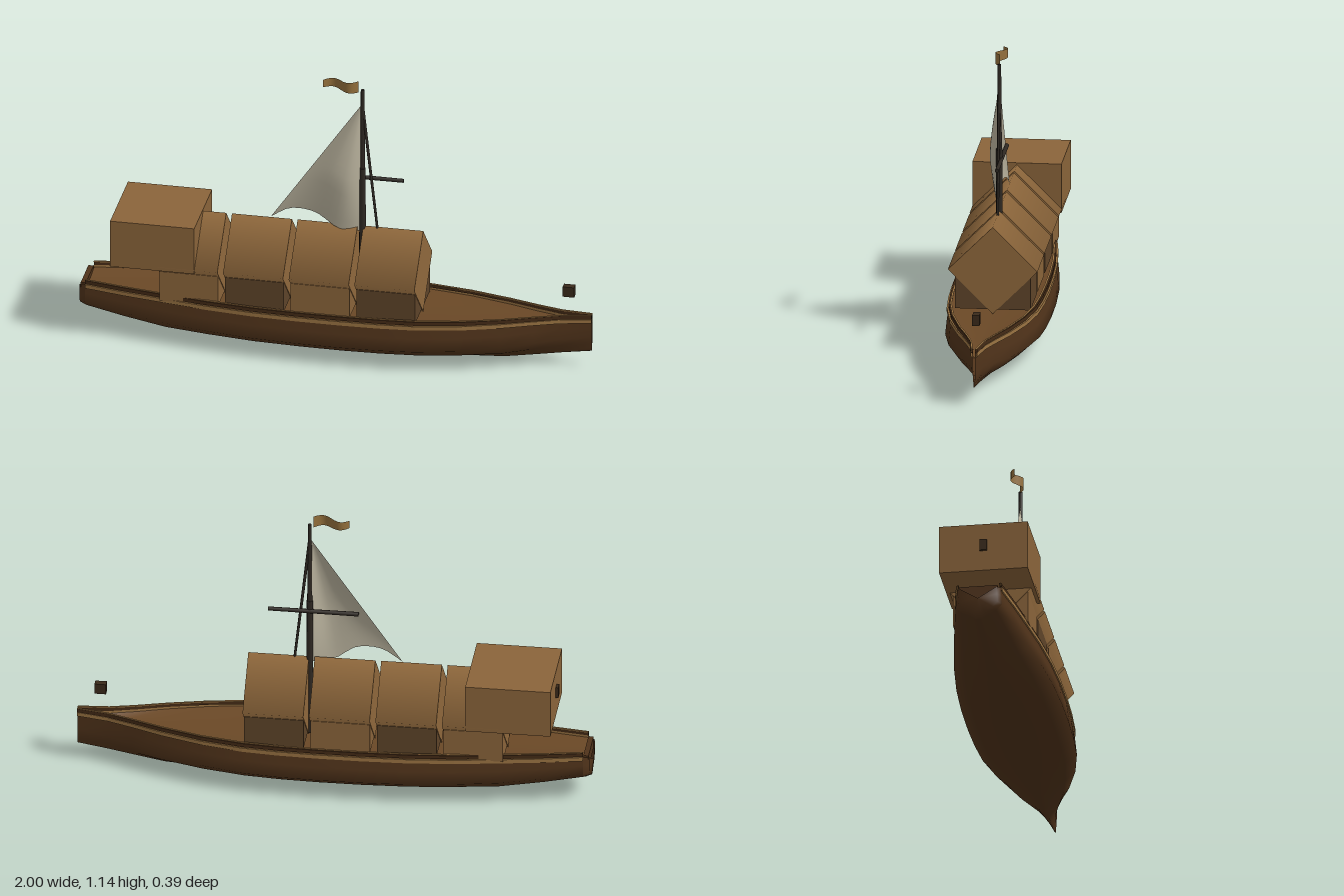
import * as THREE from 'three';

const mat = (color, extra = {}) => new THREE.MeshStandardMaterial({ color, ...extra });
const DS = { side: THREE.DoubleSide };
const hullMat = mat(0x50331a, DS);
const deckMat = mat(0x6a4826, DS);
const trimMat = mat(0x9a7342, { ...DS, flatShading: true });
const railMat = mat(0x432a15, { ...DS, flatShading: true });
const roofMat = mat(0x8f683c);
const lightWood = mat(0x8a643a);
const darkWood = mat(0x5e4429);
const sparMat = mat(0x2e2822);
const sailMat = mat(0xb8b19c, DS);
const flagMat = mat(0x94703c, DS);
const lampMat = mat(0x3a2a1a);

// Hull stations: x, half beam, keel height, sheer height
const stations = [
  [-0.97, 0.09, 0.075, 0.203], [-0.82, 0.118, 0.047, 0.2], [-0.65, 0.145, 0.02, 0.198],
  [-0.48, 0.17, 0.014, 0.196], [-0.3, 0.188, 0.008, 0.195], [-0.12, 0.196, 0.006, 0.195],
  [0.05, 0.197, 0.005, 0.195], [0.2, 0.193, 0.006, 0.195], [0.34, 0.183, 0.009, 0.196],
  [0.5, 0.153, 0.015, 0.198], [0.66, 0.104, 0.022, 0.201], [0.78, 0.058, 0.04, 0.204],
  [0.88, 0.024, 0.056, 0.207], [1.0, 0.005, 0.075, 0.211],
];
// Half section from sheer to keel: fraction of beam, fraction of height
const section = [[0.93, 1], [0.97, 0.72], [1, 0.44], [0.75, 0.25], [0.32, 0.1], [0.13, 0.01], [0, 0]];
const fullSection = [...section, ...section.slice(0, -1).reverse().map(([w, h]) => [-w, h])];

// Surface from a rule f(i, j) returning [x, y, z]
function grid(nu, nv, f) {
  const pos = [], idx = [];
  for (let i = 0; i <= nu; i++) for (let j = 0; j <= nv; j++) pos.push(...f(i, j));
  for (let i = 0; i < nu; i++) for (let j = 0; j < nv; j++) {
    const a = i * (nv + 1) + j, c = a + nv + 1;
    idx.push(a, a + 1, c, a + 1, c + 1, c);
  }
  const g = new THREE.BufferGeometry();
  g.setAttribute('position', new THREE.Float32BufferAttribute(pos, 3));
  g.setIndex(idx);
  g.computeVertexNormals();
  return g;
}

function add(parent, name, geo, material, x = 0, y = 0, z = 0) {
  const m = new THREE.Mesh(geo, material);
  m.name = name;
  m.position.set(x, y, z);
  parent.add(m);
  return m;
}

const box = (w, h, d) => new THREE.BoxGeometry(w, h, d);

// Round spar between two points
function spar(parent, name, a, b, r0, r1) {
  const p = new THREE.Vector3(...a), q = new THREE.Vector3(...b);
  const dir = q.clone().sub(p);
  const m = add(parent, name, new THREE.CylinderGeometry(r1, r0, dir.length(), 8), sparMat);
  m.position.copy(p).add(q).multiplyScalar(0.5);
  m.quaternion.setFromUnitVectors(new THREE.Vector3(0, 1, 0), dir.normalize());
}

// Square-section plank following the hull side
function plank(parent, name, material, side, beam, y0, y1, thick) {
  const corners = [[0, y0], [thick, y0], [thick, y1], [0, y1], [0, y0]];
  add(parent, name, grid(stations.length - 1, 4, (i, j) => {
    const [x, w, , top] = stations[i];
    return [x, top + corners[j][1], side * (w * beam + corners[j][0])];
  }), material);
}

function buildHull(parent) {
  const n = stations.length - 1, v = fullSection.length - 1;
  const at = (i, j) => {
    const [x, w, low, top] = stations[i], [sw, sh] = fullSection[j];
    return [x, low + (top - low) * sh, w * sw];
  };
  add(parent, 'hull', grid(n, v, at), hullMat);
  // Bulged stern panel shrinking towards its middle
  const scale = [0, 0.85, 1], xs = [-1, -0.995, -0.97];
  add(parent, 'transom', grid(2, v, (i, j) => {
    const [, y, z] = at(0, j);
    return [xs[i], 0.15 + (y - 0.15) * scale[i], z * scale[i]];
  }), hullMat);
  add(parent, 'transomTop', box(0.02, 0.05, 0.15), hullMat, -0.98, 0.18, 0);
  // Deck, dished a little along the middle
  add(parent, 'deck', grid(n, 4, (i, j) => {
    const [x, w, , top] = stations[i], t = j / 2 - 1;
    return [x, top - 0.008 - 0.012 * (1 - t * t), w * 0.93 * t];
  }), deckMat);
  for (const s of [1, -1]) {
    plank(parent, 'trimStrake', trimMat, s, 0.93, -0.014, 0.002, 0.007);
    plank(parent, 'bulwark', railMat, s, 0.89, 0.003, 0.018, 0.007);
    plank(parent, 'railCap', trimMat, s, 0.86, 0.016, 0.02, 0.007);
  }
}

function buildCabins(parent) {
  const len = 0.235;
  const roof = new THREE.CylinderGeometry(0.173, 0.173, len, 4);
  roof.rotateZ(Math.PI / 2);
  for (let i = 0; i < 4; i++) {
    const x = -0.552 + i * 0.2575;
    add(parent, 'cabinRoof', roof, roofMat, x, 0.35, 0);
    add(parent, 'cabinWall', box(len - 0.005, 0.125, 0.292), i % 2 ? darkWood : lightWood, x, 0.2575, 0);
  }
  add(parent, 'sternCabin', box(0.33, 0.195, 0.344), lightWood, -0.69, 0.4325, 0);
  add(parent, 'sternLamp', box(0.03, 0.045, 0.028), lampMat, -0.85, 0.44, 0);
  add(parent, 'bowLamp', box(0.045, 0.042, 0.028), lampMat, 0.91, 0.324, 0);
}

function buildRig(parent) {
  spar(parent, 'lowerMast', [0.1, 0.19, 0], [0.1, 0.77, 0], 0.014, 0.012);
  spar(parent, 'upperMast', [0.1, 0.76, 0], [0.1, 1.107, 0], 0.01, 0.007);
  spar(parent, 'forestay', [0.1, 1.04, 0], [0.16, 0.5, 0], 0.006, 0.005);
  spar(parent, 'yard', [-0.09, 0.727, -0.008], [0.26, 0.727, -0.008], 0.009, 0.008);

  // Triangular sail with arched foot and a belly towards +z
  const foot = new THREE.CatmullRomCurve3([[-0.26, 0.525], [-0.19, 0.57], [-0.13, 0.578], [-0.07, 0.565],
    [0.0, 0.515], [0.05, 0.503], [0.095, 0.5]].map(([x, y]) => new THREE.Vector3(x, y, 0)));
  const N = 14;
  add(parent, 'sail', grid(N, N, (i, j) => {
    const p = foot.getPoint(j / N), t = i / N;
    const belly = 0.052 * Math.sin(Math.PI * Math.pow(j / N, 1.4)) * Math.sin(Math.PI * (0.15 + 0.85 * (1 - t)) * 0.72);
    return [0.095 + (p.x - 0.095) * t, 1.04 + (p.y - 1.04) * t, belly * Math.min(1, 1.6 * t)];
  }), sailMat);

  // Waving pennant
  add(parent, 'pennant', grid(12, 2, (i, j) => {
    const t = i / 12, h = 0.048 - 0.016 * t;
    return [0.085 - 0.14 * t, 1.118 + h * (j / 2 - 0.5), 0.02 * Math.sin(t * Math.PI * 2)];
  }), flagMat);
}

export function createModel() {
  const boat = new THREE.Group();
  boat.name = 'sailingBoat';
  for (const [name, build] of [['hullGroup', buildHull], ['cabins', buildCabins], ['rigging', buildRig]]) {
    const g = new THREE.Group();
    g.name = name;
    build(g);
    boat.add(g);
  }
  return boat;
}
